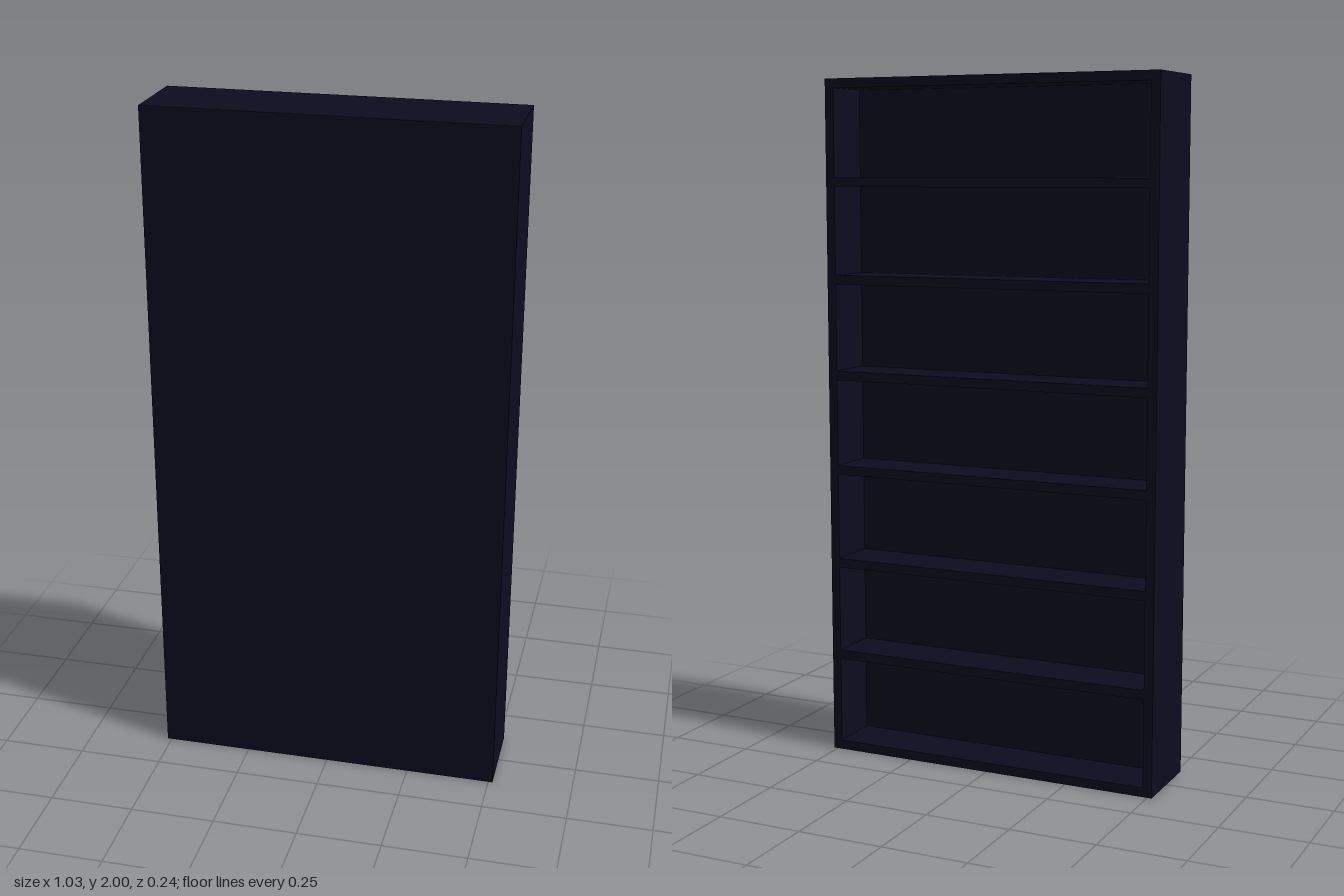
import * as THREE from 'three';

export function createModel() {
  const model = new THREE.Group();
  model.name = 'bookcase';
  const navy = new THREE.MeshStandardMaterial({ color: 0x0c0c20 });
  navy.name = 'dark navy';

  const W = 1.026, H = 2, D = 0.244, T = 0.027; // outer size and board thickness
  const recess = 0.152;                         // shelf depth, open towards -z
  const bays = 7;

  const board = (name, w, h, d, x, y, z) => {
    const mesh = new THREE.Mesh(new THREE.BoxGeometry(w, h, d), navy);
    mesh.name = name;
    mesh.position.set(x, y, z);
    model.add(mesh);
  };

  // Side panels
  board('leftSide', T, H, D, (W - T) / 2, H / 2, 0);
  board('rightSide', T, H, D, -(W - T) / 2, H / 2, 0);

  // Top and bottom boards
  const innerW = W - 2 * T;
  board('topBoard', innerW, T, D, 0, H - T / 2, 0);
  board('bottomBoard', innerW, T, D, 0, T / 2, 0);

  // Closed panel on the +z side
  const panelD = D - recess;
  board('closedPanel', innerW, H - 2 * T, panelD, 0, H / 2, (D - panelD) / 2);

  // Evenly spaced shelves
  const pitch = (H - T) / bays;
  for (let i = 1; i < bays; i++) {
    board('shelf' + i, innerW, T, recess, 0, T / 2 + i * pitch, (recess - D) / 2);
  }
  return model;
}
